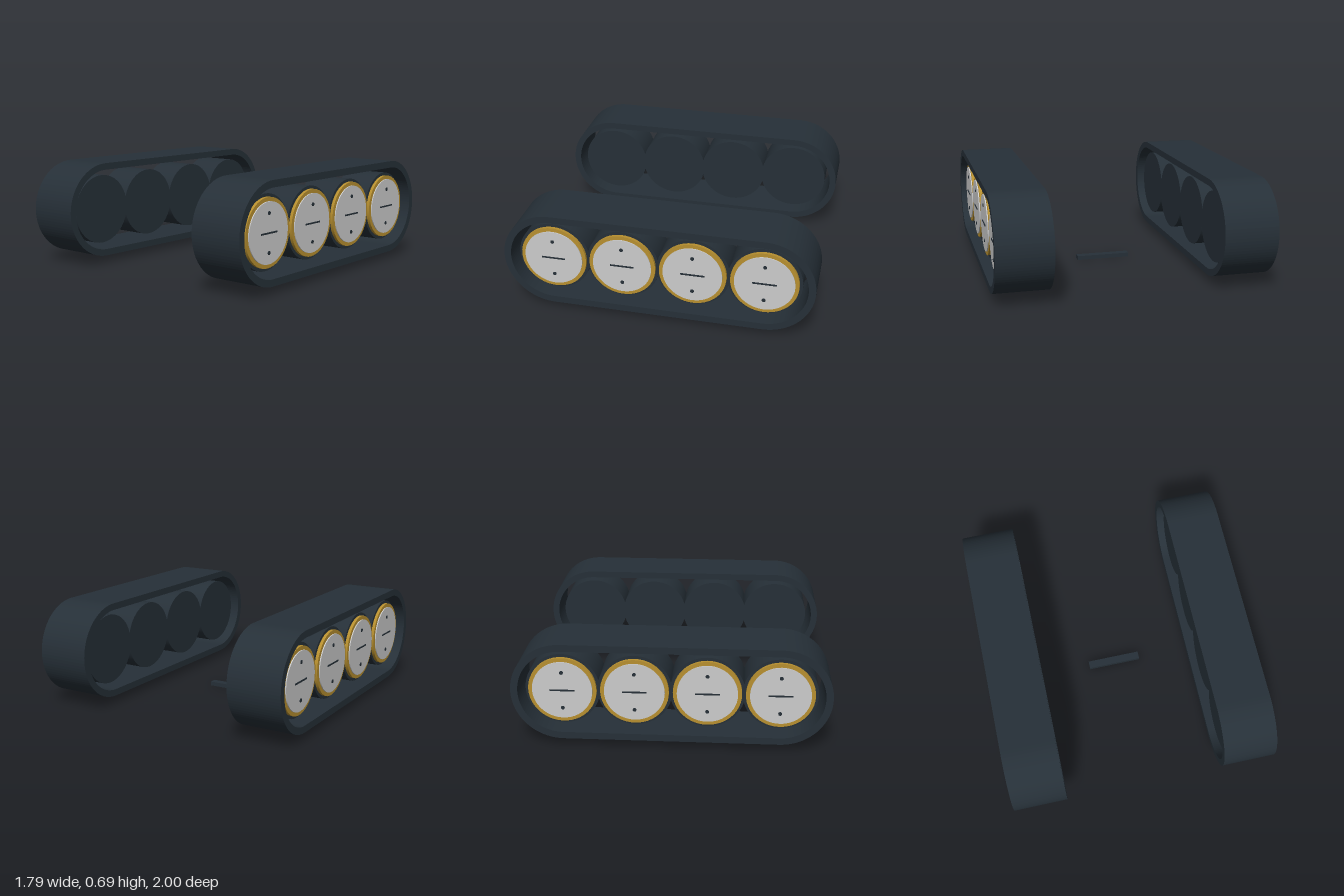
import * as THREE from 'three';

const AXLE_Y = 0.37;
const dark = new THREE.MeshStandardMaterial({ color: 0x263038 });
const gold = new THREE.MeshStandardMaterial({ color: 0xb8902f });
const grey = new THREE.MeshStandardMaterial({ color: 0xcccccc });

function part(name, geometry, material) {
  const mesh = new THREE.Mesh(geometry, material);
  mesh.name = name;
  return mesh;
}

// Disc lying across the x axis, from x0 to x1
function disc(name, radius, x0, x1, material, sides = 48) {
  const geometry = new THREE.CylinderGeometry(radius, radius, x1 - x0, sides);
  geometry.rotateZ(-Math.PI / 2).translate((x0 + x1) / 2, 0, 0);
  return part(name, geometry, material);
}

// Rounded-end loop outline
function stadium(path, half, radius) {
  path.absarc(half, 0, radius, -Math.PI / 2, Math.PI / 2, false);
  path.absarc(-half, 0, radius, Math.PI / 2, Math.PI * 1.5, false);
  path.closePath();
  return path;
}

function createBelt() {
  const shape = stadium(new THREE.Shape(), 0.68, 0.32);
  shape.holes.push(stadium(new THREE.Path(), 0.68, 0.275));
  const geometry = new THREE.ExtrudeGeometry(shape, { depth: 0.36, bevelEnabled: false, curveSegments: 24 });
  geometry.rotateY(Math.PI / 2).translate(0.535, AXLE_Y, 0);
  return part('trackBelt', geometry, dark);
}

function createWheel(z) {
  const wheel = new THREE.Group();
  wheel.name = 'roadWheel';
  wheel.add(
    disc('tyre', 0.235, 0.58, 0.835, dark),
    disc('trimRing', 0.215, 0.835, 0.855, gold),
    disc('hubPlate', 0.19, 0.855, 0.862, grey)
  );
  // Slot and two bolts on the hub plate
  const slot = part('hubSlot', new THREE.BoxGeometry(0.006, 0.01, 0.155), dark);
  slot.position.x = 0.863;
  wheel.add(slot);
  for (const side of [-1, 1]) {
    const bolt = disc('hubBolt', 0.012, 0.86, 0.866, dark, 16);
    bolt.position.y = side * 0.12;
    wheel.add(bolt);
  }
  wheel.position.set(0, AXLE_Y, z);
  return wheel;
}

function createTrack(name) {
  const track = new THREE.Group();
  track.name = name;
  track.add(createBelt());
  for (const z of [-0.68, -0.227, 0.227, 0.68]) track.add(createWheel(z));
  return track;
}

export function createModel() {
  const model = new THREE.Group();
  model.name = 'trackAssembly';

  // Two tracks, hub plates facing outwards
  const left = createTrack('leftTrack');
  const right = createTrack('rightTrack');
  right.rotation.y = Math.PI;

  // Small bar between the tracks
  const bar = part('crossBar', new THREE.BoxGeometry(0.37, 0.028, 0.052), dark);
  bar.position.y = 0.014;

  model.add(left, right, bar);
  return model;
}
